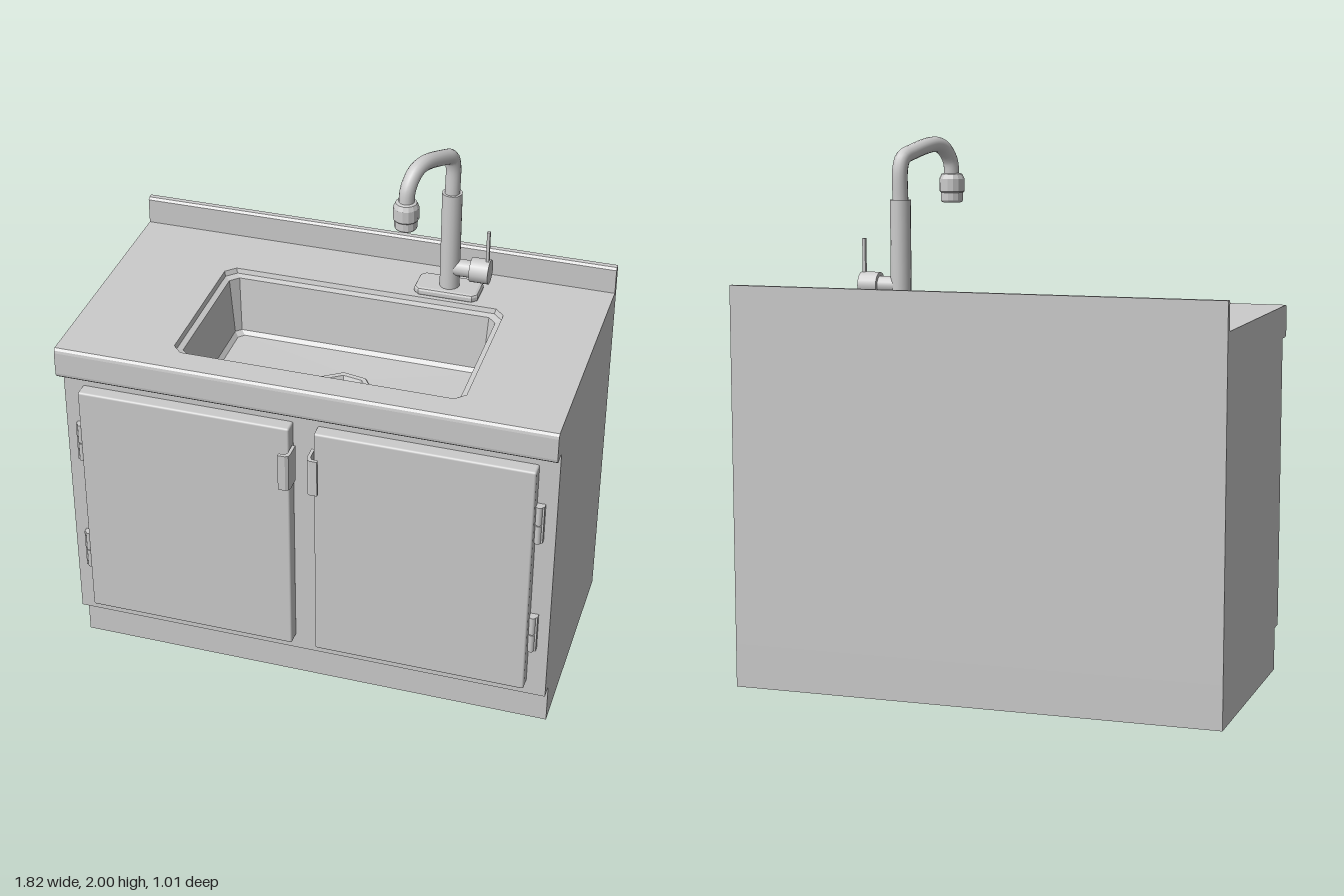
import * as THREE from 'three';
import { RoundedBoxGeometry } from 'three/addons/geometries/RoundedBoxGeometry.js';

const material = new THREE.MeshStandardMaterial({ color: 0xcccccc });
const twoSided = new THREE.MeshStandardMaterial({ color: 0xcccccc, side: THREE.DoubleSide });
const W = 1.82, BACK = -0.505, TOP = 1.37;

function add(parent, name, geometry, x = 0, y = 0, z = 0, mat = material) {
  const mesh = new THREE.Mesh(geometry, mat);
  mesh.name = name;
  mesh.position.set(x, y, z);
  parent.add(mesh);
  return mesh;
}

// box given by its limits on each axis
function box(parent, name, [x0, x1], [y0, y1], [z0, z1], radius = 0) {
  const size = [x1 - x0, y1 - y0, z1 - z0];
  const geometry = radius ? new RoundedBoxGeometry(...size, 2, radius) : new THREE.BoxGeometry(...size);
  return add(parent, name, geometry, (x0 + x1) / 2, (y0 + y1) / 2, (z0 + z1) / 2);
}

const shapeOf = (points) => new THREE.Shape(points.map(([a, b]) => new THREE.Vector2(a, b)));

// plan shape in (x, z) extruded downwards from y = 0
const extrudeDown = (shape, depth) =>
  new THREE.ExtrudeGeometry(shape, { depth, bevelEnabled: false }).rotateX(Math.PI / 2);

// side profile in (z, y) extruded along x, centred
const extrudeAcross = (points, width) =>
  new THREE.ExtrudeGeometry(shapeOf(points), { depth: width, bevelEnabled: false })
    .rotateY(-Math.PI / 2).translate(width / 2, 0, 0);

const rect = (x0, x1, z0, z1) => [[x0, z0], [x1, z0], [x1, z1], [x0, z1]];

// rectangle with cut corners: eight points
const cutRect = (x0, x1, z0, z1, c) => [
  [x1, z1 - c], [x1 - c, z1], [x0 + c, z1], [x0, z1 - c],
  [x0, z0 + c], [x0 + c, z0], [x1 - c, z0], [x1, z0 + c]];

const octagon = (cx, cz, r) => Array.from({ length: 8 }, (_, i) => {
  const a = THREE.MathUtils.degToRad(33 + 45 * i);
  return [cx + r * Math.cos(a), cz + r * Math.sin(a)];
});

// flat-shaded skin through successive loops [points, y]
function loft(loops) {
  const out = [];
  for (let k = 0; k + 1 < loops.length; k++) {
    const [p, py] = loops[k], [q, qy] = loops[k + 1];
    for (let i = 0; i < p.length; i++) {
      const j = (i + 1) % p.length;
      const a = [p[i][0], py, p[i][1]], b = [p[j][0], py, p[j][1]];
      const c = [q[i][0], qy, q[i][1]], d = [q[j][0], qy, q[j][1]];
      out.push(...a, ...c, ...b, ...b, ...c, ...d);
    }
  }
  const geometry = new THREE.BufferGeometry();
  geometry.setAttribute('position', new THREE.Float32BufferAttribute(out, 3));
  geometry.computeVertexNormals();
  return geometry;
}

function buildCabinet(root) {
  const cabinet = new THREE.Group();
  cabinet.name = 'cabinet';
  root.add(cabinet);
  box(cabinet, 'plinth', [-W / 2, W / 2], [0, 0.16], [BACK, 0.35]);
  const walls = shapeOf(rect(-W / 2, W / 2, BACK, 0.405));
  walls.holes.push(shapeOf(rect(-0.85, 0.85, -0.445, 0.345)));
  add(cabinet, 'cabinetWalls', extrudeDown(walls, 1.09), 0, 1.25, 0);

  for (const s of [-1, 1]) {
    const side = s < 0 ? 'right' : 'left';
    const span = (a, b) => (s < 0 ? [-b, -a] : [a, b]);
    box(cabinet, side + 'Door', span(0.045, 0.838), [0.22, 1.19], [0.4, 0.457], 0.008);
    // hooked pull on the inner edge of the door
    const pull = shapeOf([[0.03, 0.43], [0.042, 0.43], [0.042, 0.48], [0.05, 0.492], [0.072, 0.492],
      [0.072, 0.505], [0.045, 0.505], [0.034, 0.498], [0.03, 0.485]].map(([x, z]) => [s * x, z]));
    add(cabinet, side + 'Pull', extrudeDown(pull, 0.147), 0, 1.107, 0);
    // hinges: a leaf with two knuckles
    for (const y of [0.46, 0.95]) {
      box(cabinet, side + 'HingeLeaf', span(0.835, 0.868), [y - 0.078, y + 0.078], [0.4, 0.425]);
      for (const d of [-0.04, 0.04]) {
        add(cabinet, side + 'HingeKnuckle', new THREE.CylinderGeometry(0.012, 0.012, 0.076, 10),
          s * 0.85, y + d, 0.424);
      }
    }
  }
}

function buildCountertop(root) {
  const rim = cutRect(-0.51, 0.555, -0.245, 0.36, 0.035);
  const slab = shapeOf(rect(-W / 2, W / 2, BACK, 0.45));
  slab.holes.push(shapeOf(rim));
  add(root, 'countertop', extrudeDown(slab, 0.12), 0, TOP, 0);
  add(root, 'countertopFrontEdge', extrudeAcross([[0.45, 1.25], [0.46, 1.25], [0.468, 1.258],
    [0.47, 1.268], [0.47, 1.352], [0.468, 1.362], [0.46, TOP], [0.45, TOP]], W));
  add(root, 'backsplash', extrudeAcross([[BACK, TOP], [-0.478, TOP], [-0.478, 1.466],
    [-0.486, 1.475], [BACK, 1.475]], W));

  // basin: stepped rim, tapered walls, floor and recessed drain
  add(root, 'sinkBasin', loft([
    [rim, TOP],
    [cutRect(-0.505, 0.55, -0.24, 0.355, 0.035), 1.352],
    [cutRect(-0.485, 0.53, -0.22, 0.335, 0.03), 1.345],
    [cutRect(-0.465, 0.508, -0.203, 0.322, 0.02), 1.13],
    [cutRect(-0.45, 0.495, -0.19, 0.308, 0.02), 1.115],
    [octagon(0.025, 0.058, 0.12), 1.11],
  ]), 0, 0, 0, twoSided);
  add(root, 'drain', loft([
    [octagon(0.025, 0.058, 0.12), 1.11],
    [octagon(0.025, 0.058, 0.115), 1.116],
    [octagon(0.025, 0.058, 0.098), 1.114],
    [octagon(0.025, 0.058, 0.082), 1.08],
    [octagon(0.025, 0.058, 0), 1.08],
  ]), 0, 0, 0, twoSided);
}

function buildFaucet(root) {
  const faucet = new THREE.Group();
  faucet.name = 'faucet';
  root.add(faucet);
  const X = 0.325, Z = -0.32;

  // base plate with rounded corners and a sloped edge
  const plate = new THREE.ExtrudeGeometry(shapeOf(cutRect(-0.108, 0.108, -0.05, 0.05, 0.012)),
    { depth: 0.012, bevelSize: 0.012, bevelThickness: 0.01, bevelSegments: 2 }).rotateX(Math.PI / 2);
  add(faucet, 'basePlate', plate, 0.322, 1.387, Z - 0.003);

  add(faucet, 'column', new THREE.CylinderGeometry(0.037, 0.037, 0.39, 16), X, 1.585, Z);

  // spout swings forward and towards the middle of the basin
  const path = new THREE.CatmullRomCurve3([[-0.32, 1.77], [-0.32, 1.89], [-0.305, 1.928], [-0.265, 1.945],
    [-0.15, 1.971], [-0.105, 1.958], [-0.068, 1.91], [-0.06, 1.85]]
    .map(([z, y]) => new THREE.Vector3(X - 0.1 * (z - Z) / 0.26, y, z)));
  add(faucet, 'spout', new THREE.TubeGeometry(path, 40, 0.028, 14));

  const head = [[0, 1.76], [0.036, 1.76], [0.041, 1.767], [0.041, 1.795], [0.046, 1.8], [0.046, 1.845],
    [0.038, 1.862], [0.025, 1.866]].map(([r, y]) => new THREE.Vector2(r, y));
  const headMesh = add(faucet, 'sprayHead', new THREE.LatheGeometry(head, 14).toNonIndexed(), 0.225, 0, -0.06);
  headMesh.geometry.computeVertexNormals();

  // side valve with an upright lever
  const across = (r, length) => new THREE.CylinderGeometry(r, r, length, 16).rotateZ(Math.PI / 2);
  add(faucet, 'valveStem', across(0.032, 0.09), 0.365, 1.475, Z);
  add(faucet, 'valveKnob', across(0.046, 0.07), 0.44, 1.475, Z);
  box(faucet, 'lever', [0.459, 0.47], [1.51, 1.64], [Z - 0.007, Z + 0.007]);
}

export function createModel() {
  const root = new THREE.Group();
  root.name = 'sinkCabinet';
  buildCabinet(root);
  buildCountertop(root);
  buildFaucet(root);
  return root;
}
